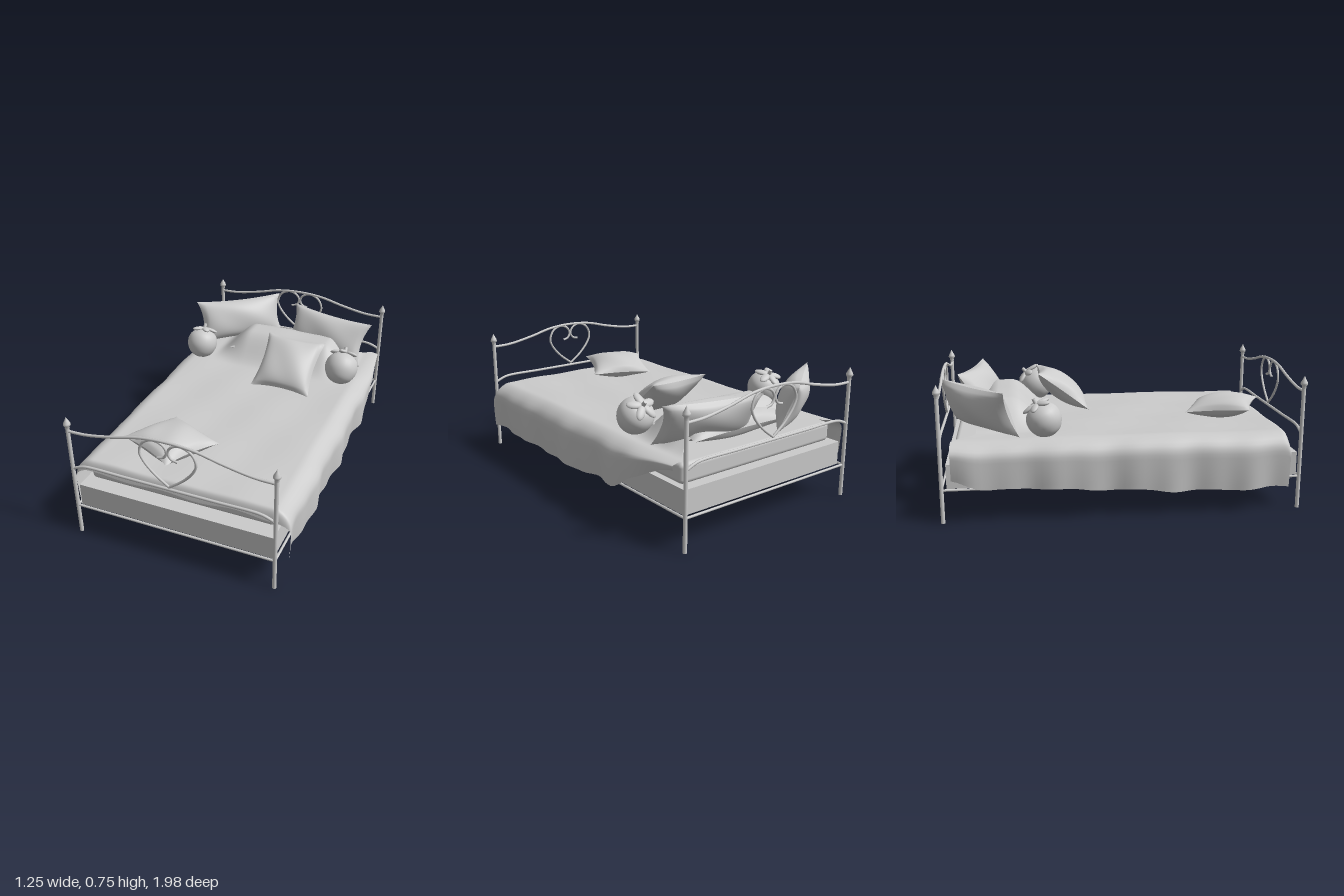
import * as THREE from 'three';
import { mergeGeometries } from 'three/addons/utils/BufferGeometryUtils.js';
import { RoundedBoxGeometry } from 'three/addons/geometries/RoundedBoxGeometry.js';
import { ParametricGeometry } from 'three/addons/geometries/ParametricGeometry.js';

const CX = -0.013, HALF = 0.571, FOOT = 0.978, HEAD = -0.962;
const mat = new THREE.MeshStandardMaterial({ color: 0xcccccc });
const cloth = new THREE.MeshStandardMaterial({ color: 0xcccccc, side: THREE.DoubleSide });
const { smoothstep, lerp } = THREE.MathUtils;

function add(parent, name, geo, x = 0, y = 0, z = 0, m = mat) {
  const mesh = new THREE.Mesh(geo, m);
  mesh.name = name;
  mesh.position.set(x, y, z);
  parent.add(mesh);
  return mesh;
}

// Tube through [x, y, z] points
function tube(points, radius, segments = 48) {
  const curve = new THREE.CatmullRomCurve3(points.map(([x, y, z = 0]) => new THREE.Vector3(x, y, z)));
  return new THREE.TubeGeometry(curve, segments, radius, 8);
}

// Mirror half a rail (centre to right end) into a full one
const mirrored = (half) => [...half.slice(1).reverse().map(([x, y]) => [-x, y]), ...half];

// Metal end frame: posts, finials, curved rails and a scrolled heart
function endFrame(name, z) {
  const g = new THREE.Group();
  g.name = name;
  g.position.set(CX, 0, z);
  const finial = [[0.009, 0.672], [0.013, 0.68], [0.011, 0.688], [0.02, 0.698], [0.019, 0.708], [0.01, 0.725], [0, 0.745]]
    .map(([x, y]) => new THREE.Vector2(x, y));
  const scroll = [[0, 0.47], [0.08, 0.532], [0.138, 0.6], [0.156, 0.65], [0.13, 0.71], [0.07, 0.735],
    [0.02, 0.715], [0.004, 0.68], [0.02, 0.648], [0.055, 0.637]];
  for (const s of [-1, 1]) {
    add(g, 'post', new THREE.CylinderGeometry(0.011, 0.011, 0.68, 14), s * HALF, 0.34, 0);
    add(g, 'finial', new THREE.LatheGeometry(finial, 14), s * HALF, 0, 0);
    add(g, 'heartScroll', tube(scroll.map(([x, y]) => [s * x, y]), 0.007, 60));
  }
  add(g, 'topRail', tube(mirrored([[0, 0.74], [0.15, 0.729], [0.3, 0.693], [0.46, 0.664], [HALF, 0.66]]), 0.008));
  add(g, 'middleRail', tube(mirrored([[0, 0.456], [0.25, 0.456], [0.49, 0.455], [0.535, 0.442], [HALF, 0.425]]), 0.008));
  add(g, 'bottomRail', tube([[-HALF, 0.182], [HALF, 0.182]], 0.007, 1));
  return g;
}

// Cushion with pinched sides and pointed corners, facing +z
function pillow(parent, name, [w, h, t], [x, y, z], turn, lean, roll = 0) {
  const half = (s) => new ParametricGeometry((u, v, p) => {
    const a = 2 * u - 1, b = 2 * v - 1;
    const swell = Math.pow(Math.max(0, (1 - a * a) * (1 - b * b)), 0.55);
    const px = a * w / 2 * (1 - 0.11 * (1 - b * b) * a * a);
    const py = b * h / 2 * (1 - 0.11 * (1 - a * a) * b * b);
    const crease = 1 + 0.05 * Math.sin(5 * a + 3 * b);
    p.set(s * px, py, s * t / 2 * swell * crease);
  }, 24, 24);
  const geo = mergeGeometries([half(1), half(-1)]);
  geo.computeVertexNormals();
  const mesh = add(parent, name, geo, x, y, z, cloth);
  mesh.rotation.set(-lean, turn, roll, 'YXZ');
}

// Draped cover: flat top, hanging sides, short foot hem, raised over the hidden pillow
function blanketGeometry() {
  const geo = new ParametricGeometry((u, v, p) => {
    const c = 2 * u - 1, s = Math.sign(c), k = Math.abs(c);
    const t = Math.max(0, (k - 0.72) / 0.28);
    const zEnd = lerp(-0.78, s > 0 ? -0.88 : -0.91, smoothstep(k, 0.55, 0.75));
    const z = 0.915 - (0.915 - zEnd) * (1 - Math.cos(v * Math.PI / 2));
    const back = Math.max(0, -z);
    // Hem height: the +x side is pulled up towards the head
    const hem = s > 0
      ? 0.158 + 0.025 * smoothstep(back, 0, 0.4) + 0.09 * smoothstep(back, 0.4, 0.6) + 0.13 * smoothstep(back, 0.55, 0.88)
      : 0.128 + 0.05 * smoothstep(-z, -0.6, 0.6) + 0.06 * smoothstep(back, 0.7, 0.91);
    const spread = 0.088 * (s > 0 ? 1 - 0.45 * smoothstep(back, 0.65, 0.88) : 1);
    let x = Math.min(k / 0.72, 1) * 0.53 + spread * Math.sin(Math.min(1, t * 2.2) * Math.PI / 2);
    x += t * (0.011 * Math.sin(z * 13 + s) + 0.006 * Math.sin(z * 29)) - 0.012 * t * t * t;
    let y = 0.437 - (0.437 - hem) * Math.pow(t, 1.35);
    y += 0.004 * Math.sin(z * 7 + c * 4) * Math.sin(c * 9 - z * 3) + t * 0.005 * Math.sin(z * 17);
    // Foot hem folds down over the mattress edge
    const drop = Math.max(0, (z - 0.86) / 0.055);
    y -= (1 - Math.min(1, t * 1.5)) * (0.064 + 0.007 * Math.sin(c * 11)) * Math.pow(drop, 5);
    // Lump above the sleeping pillow
    const px = s * x;
    const lump = smoothstep(px, -0.42, -0.2) * (1 - smoothstep(px, 0.3, 0.5));
    y += lump * 0.155 * smoothstep(-z, 0.36, 0.58) * (1 - 0.45 * smoothstep(-z, 0.68, 0.78));
    p.set(px - 0.006, y, z);
  }, 90, 90);
  geo.computeVertexNormals();
  return geo;
}

// Plump round fruit cushion with a leafy crown and stem
function fruitCushion(name, r, x, y, z, lean, turn) {
  const g = new THREE.Group();
  g.name = name;
  const profile = [[0, -1], [0.35, -0.94], [0.7, -0.72], [0.94, -0.32], [1, 0.08], [0.9, 0.48], [0.62, 0.78], [0.3, 0.9], [0, 0.9]]
    .map(([a, b]) => new THREE.Vector2(a * r, b * r));
  const smooth = new THREE.SplineCurve(profile).getPoints(28);
  smooth.forEach((q) => { q.x = Math.max(0, q.x); });
  add(g, 'fruitBody', new THREE.LatheGeometry(smooth, 28));
  for (let i = 0; i < 5; i++) {
    const pivot = new THREE.Group();
    pivot.name = 'leaf';
    pivot.rotation.y = i * Math.PI * 2 / 5 + turn;
    const leaf = add(pivot, 'leafPad', new THREE.SphereGeometry(1, 14, 10), r * 0.46, r * 0.92, 0);
    leaf.scale.set(r * 0.44, r * 0.13, r * 0.24);
    leaf.rotation.z = -0.2;
    g.add(pivot);
  }
  add(g, 'stem', new THREE.CylinderGeometry(r * 0.1, r * 0.13, r * 0.45, 10), 0, r * 1.1, 0);
  g.position.set(x, y, z);
  g.rotation.x = -lean;
  return g;
}

export function createModel() {
  const bed = new THREE.Group();
  bed.name = 'bed';

  // Metal frame
  bed.add(endFrame('footFrame', FOOT), endFrame('headFrame', HEAD));
  for (const s of [-1, 1]) {
    add(bed, 'sideRail', tube([[CX + s * HALF, 0.182, HEAD], [CX + s * HALF, 0.182, FOOT]], 0.007, 1));
  }

  // Base and mattress
  add(bed, 'boxBase', new THREE.BoxGeometry(1.11, 0.132, 1.905), CX + 0.003, 0.249, 0.015);
  add(bed, 'mattress', new RoundedBoxGeometry(1.06, 0.11, 1.78, 3, 0.025), -0.005, 0.37, 0);

  // Bedding
  add(bed, 'blanket', blanketGeometry(), 0, 0, 0, cloth);
  pillow(bed, 'sleepingPillow', [0.72, 0.36, 0.15], [0.04, 0.495, -0.66], 0, Math.PI / 2);
  pillow(bed, 'headPillowRight', [0.58, 0.27, 0.15], [-0.365, 0.575, -0.765], 0.66, 0.38);
  pillow(bed, 'headPillowLeft', [0.57, 0.28, 0.15], [0.25, 0.567, -0.76], -0.23, 0.52);
  pillow(bed, 'squareCushion', [0.37, 0.37, 0.14], [0.155, 0.57, -0.28], 0.02, 0.93, -0.03);
  pillow(bed, 'footCushion', [0.37, 0.37, 0.13], [-0.172, 0.503, 0.642], -0.42, Math.PI / 2 + 0.1);

  // Round cushions
  bed.add(fruitCushion('fruitCushionRight', 0.095, -0.49, 0.525, -0.415, 0.45, 0.3));
  bed.add(fruitCushion('fruitCushionLeft', 0.1, 0.453, 0.535, -0.42, 0.75, 0.9));
  return bed;
}
